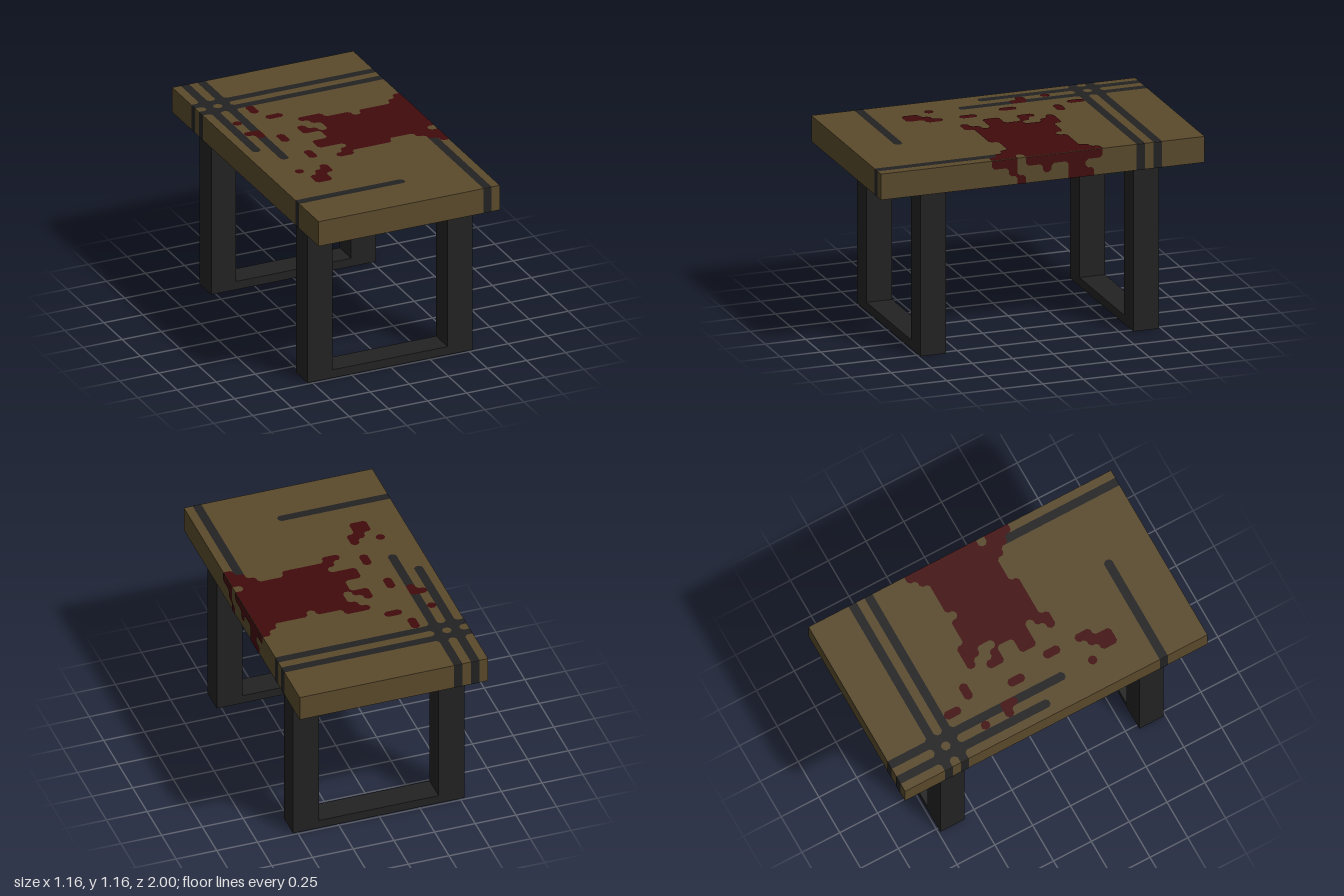
import * as THREE from 'three';

const U = 2 / 38;                 // cell size: the slab is 22 x 3 x 38 cells
const W = 22, H = 3, L = 38, LEG = 19;
const CUT = 0.3;                  // corner chamfer of painted cells, in cells

const wood = new THREE.MeshStandardMaterial({ color: 0x5a4a2c });
wood.name = 'brown wood';
const charcoal = new THREE.MeshStandardMaterial({ color: 0x222222 });
charcoal.name = 'charcoal';
const red = new THREE.MeshStandardMaterial({ color: 0x420b0d });
red.name = 'dark red';

// Painted areas as cell rectangles: [first column, last column, first row, last row]
const topStripes = [
  [1, 1, 0, 18], [3, 3, 0, 21], [0, 21, 5, 5], [0, 21, 7, 7],
  [0, 12, 32, 32], [20, 20, 22, 37],
];
const topStain = [
  // main pool
  [21, 21, 12, 12], [9, 11, 13, 13], [20, 21, 13, 13], [10, 14, 14, 14], [16, 21, 14, 14],
  [8, 8, 15, 15], [11, 21, 15, 15], [8, 9, 16, 16], [11, 21, 16, 16], [10, 21, 17, 18],
  [8, 21, 19, 20], [11, 20, 21, 21], [10, 15, 22, 22], [19, 21, 22, 22],
  [9, 10, 23, 23], [20, 21, 23, 23], [21, 21, 24, 24],
  // splashes
  [5, 5, 8, 9], [2, 2, 11, 11], [6, 7, 11, 11], [2, 3, 14, 14], [3, 3, 15, 15],
  [5, 5, 16, 17], [6, 6, 21, 22], [3, 3, 25, 25], [6, 6, 25, 25], [5, 6, 26, 26], [4, 5, 27, 28],
];
const sideStain = [
  [13, 15, 0, 0], [15, 15, 1, 1], [16, 16, 2, 2], [17, 25, 0, 0],
  [19, 19, 1, 1], [22, 23, 1, 2], [24, 24, 2, 2],
];
const columns = (...cs) => cs.map((c) => [c, c, 0, H - 1]);

// Flat geometry of painted cells on a cols x rows face, with chamfered outlines
function paintGeometry(rects, cols, rows) {
  const on = (c, r) => {
    c = Math.min(cols - 1, Math.max(0, c));
    r = Math.min(rows - 1, Math.max(0, r));
    return rects.some(([a, b, d, e]) => c >= a && c <= b && r >= d && r <= e);
  };
  const point = (c, r) => new THREE.Vector2((c - cols / 2) * U, (rows / 2 - r) * U);
  const shapes = [];
  // corners run counter-clockwise: top left, bottom left, bottom right, top right
  const corners = [[-1, -1], [-1, 1], [1, 1], [1, -1]];
  for (let r = 0; r < rows; r++) {
    for (let c = 0; c < cols; c++) {
      const filled = on(c, r), outline = [];
      corners.forEach(([i, j], k) => {
        const x = c + (i + 1) / 2, y = r + (j + 1) / 2;
        const alongX = point(x - i * CUT, y), alongY = point(x, y - j * CUT);
        const cut = k % 2 ? [alongY, alongX] : [alongX, alongY];
        const sideX = on(c + i, r), sideY = on(c, r + j);
        if (filled) {
          if (!sideX && !sideY && !on(c + i, r + j)) outline.push(...cut);
          else outline.push(point(x, y));
        } else if (sideX && sideY) {
          shapes.push(new THREE.Shape([cut[0], point(x, y), cut[1]]));
        }
      });
      if (filled) shapes.push(new THREE.Shape(outline));
    }
  }
  return new THREE.ShapeGeometry(shapes);
}

export function createModel() {
  const model = new THREE.Group();
  model.name = 'coffeeTable';

  function box(parent, name, material, size, centre) {
    const mesh = new THREE.Mesh(new THREE.BoxGeometry(...size.map((v) => v * U)), material);
    mesh.position.set(...centre.map((v) => v * U));
    mesh.name = name;
    parent.add(mesh);
  }

  // Slab
  box(model, 'tableTop', wood, [W, H, L], [0, LEG + H / 2, 0]);

  // Two leg frames, each with two posts and a floor bar
  for (const [name, s] of [['frontLegFrame', 1], ['backLegFrame', -1]]) {
    const frame = new THREE.Group();
    frame.name = name;
    frame.position.z = s * 12.5 * U;
    box(frame, 'leftPost', charcoal, [3, LEG, 3], [8.5, LEG / 2, 0]);
    box(frame, 'rightPost', charcoal, [3, LEG, 3], [-8.5, LEG / 2, 0]);
    box(frame, 'floorBar', charcoal, [14, 1, 3], [0, 0.5, 0]);
    model.add(frame);
  }

  // Paint laid just above one face of the slab
  const faces = {
    top: { cols: W, rows: L, turn: [-Math.PI / 2, 0], out: H / 2 },
    bottom: { cols: W, rows: L, turn: [Math.PI / 2, 0], out: H / 2 },
    front: { cols: W, rows: H, turn: [0, 0], out: L / 2 },
    back: { cols: W, rows: H, turn: [0, Math.PI], out: L / 2 },
    left: { cols: L, rows: H, turn: [0, Math.PI / 2], out: W / 2 },
    right: { cols: L, rows: H, turn: [0, -Math.PI / 2], out: W / 2 },
  };
  function paint(name, face, material, rects, lift) {
    const { cols, rows, turn, out } = faces[face];
    const geometry = paintGeometry(rects, cols, rows);
    geometry.translate(0, 0, out * U + lift);
    geometry.rotateX(turn[0]).rotateY(turn[1]);
    const mesh = new THREE.Mesh(geometry, material);
    mesh.position.y = (LEG + H / 2) * U;
    mesh.name = name;
    model.add(mesh);
  }

  // Stripes wrap over the edges and repeat on the underside
  const flipped = topStripes.map(([a, b, c, d]) => [a, b, L - 1 - d, L - 1 - c]);
  paint('topStripes', 'top', charcoal, topStripes, 0.0015);
  paint('undersideStripes', 'bottom', charcoal, flipped, 0.0015);
  paint('frontStripe', 'front', charcoal, columns(20), 0.0015);
  paint('backStripes', 'back', charcoal, columns(18, 20), 0.0015);
  paint('leftStripes', 'left', charcoal, columns(30, 32), 0.0015);
  paint('rightStripes', 'right', charcoal, columns(5, 7, 32), 0.0015);

  // Spilled stain running over the left edge
  paint('topStain', 'top', red, topStain, 0.003);
  paint('edgeDrips', 'left', red, sideStain, 0.003);

  return model;
}
